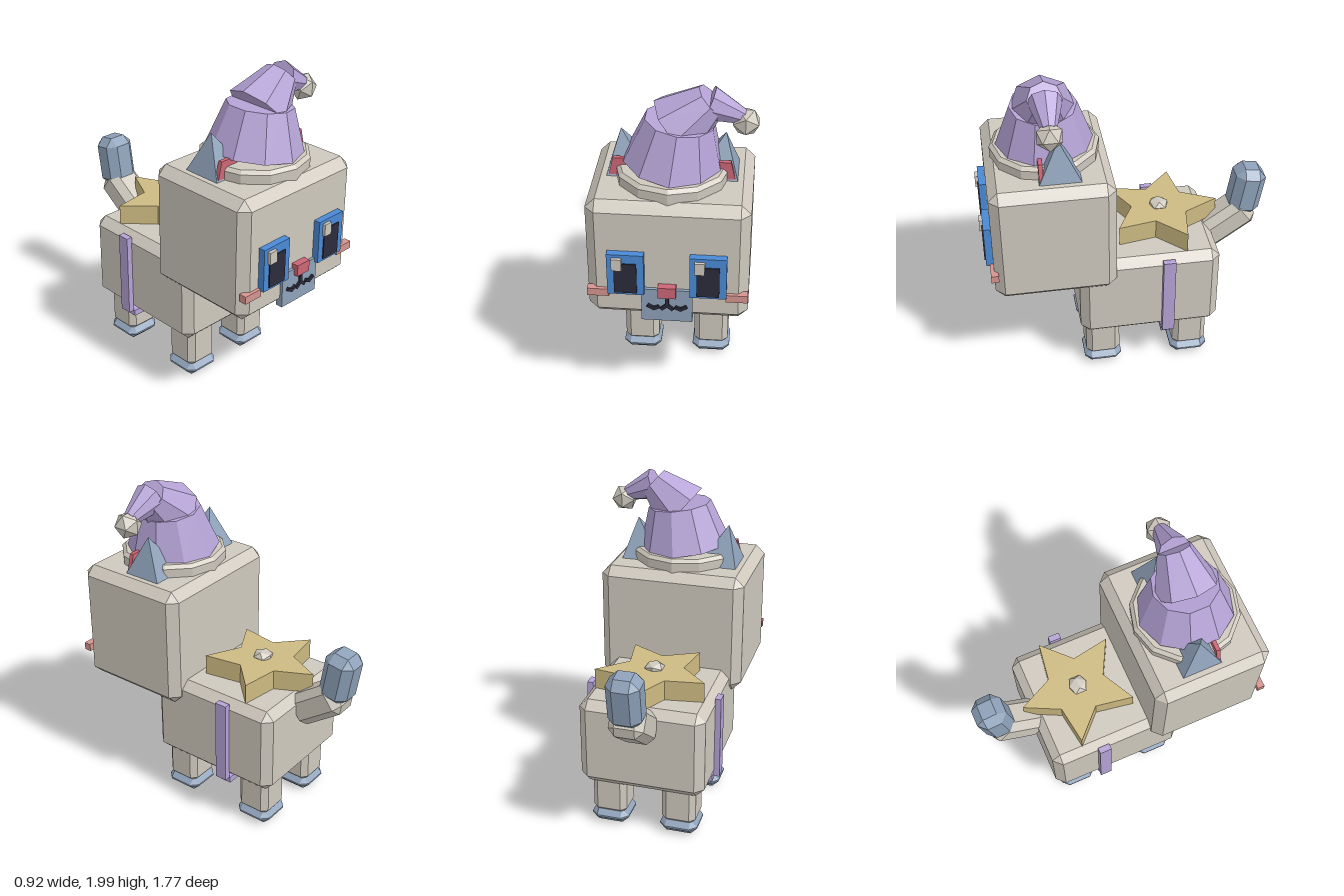
import * as THREE from 'three';
import { ConvexGeometry } from 'three/addons/geometries/ConvexGeometry.js';

const CX = -0.015; // symmetry plane of the animal

function makeMaterial(name, color) {
  const m = new THREE.MeshStandardMaterial({ color, flatShading: true });
  m.name = name;
  return m;
}

// Box with bevelled edges and corners, centred on the origin
function chamferBox(w, h, d, b) {
  const pts = [];
  for (const sx of [-1, 1]) for (const sy of [-1, 1]) for (const sz of [-1, 1]) {
    const x = w / 2, y = h / 2, z = d / 2;
    pts.push(
      new THREE.Vector3(sx * x, sy * (y - b), sz * (z - b)),
      new THREE.Vector3(sx * (x - b), sy * y, sz * (z - b)),
      new THREE.Vector3(sx * (x - b), sy * (y - b), sz * z)
    );
  }
  return new ConvexGeometry(pts);
}

export function createModel() {
  const root = new THREE.Group();
  root.name = 'catWithHat';

  const fur = makeMaterial('paleFur', 0xcfc9be);
  const slate = makeMaterial('slateFur', 0x8fa2ba);
  const purple = makeMaterial('purpleCloth', 0xb5a3d6);
  const gold = makeMaterial('goldStar', 0xcdba82);
  const blue = makeMaterial('eyeBlue', 0x4a8ad6);
  const dark = makeMaterial('darkInk', 0x2b2b3c);
  const rose = makeMaterial('rosePink', 0xcc6676);
  const blush = makeMaterial('blushPink', 0xd6948f);

  function add(name, geo, mat, x = 0, y = 0, z = 0) {
    const m = new THREE.Mesh(geo, mat);
    m.name = name;
    m.position.set(x, y, z);
    root.add(m);
    return m;
  }
  // Box given by its limits on each axis
  function boxAt(name, mat, x0, x1, y0, y1, z0, z1, bevel = 0) {
    const w = x1 - x0, h = y1 - y0, d = z1 - z0;
    const geo = bevel ? chamferBox(w, h, d, bevel) : new THREE.BoxGeometry(w, h, d);
    return add(name, geo, mat, (x0 + x1) / 2, (y0 + y1) / 2, (z0 + z1) / 2);
  }
  // Tapered tube running from a to b
  function frustum(name, mat, a, b, ra, rb, sides) {
    const dir = b.clone().sub(a);
    const mid = a.clone().add(b).multiplyScalar(0.5);
    const m = add(name, new THREE.CylinderGeometry(rb, ra, dir.length(), sides), mat, mid.x, mid.y, mid.z);
    m.quaternion.setFromUnitVectors(new THREE.Vector3(0, 1, 0), dir.normalize());
    return m;
  }

  // Head and body
  boxAt('head', fur, -0.465, 0.435, 0.705, 1.455, 0.1, 0.825, 0.055);
  boxAt('body', fur, -0.4, 0.37, 0.3, 0.855, -0.54, 0.32, 0.052);

  // Legs and paws
  for (const sx of [-1, 1]) for (const z of [0.178, -0.378]) {
    const x = CX + sx * 0.218;
    boxAt('leg', fur, x - 0.106, x + 0.106, 0.07, 0.36, z - 0.106, z + 0.106, 0.034);
    boxAt('paw', slate, x - 0.117, x + 0.117, 0.0, 0.095, z - 0.117, z + 0.117, 0.042);
  }

  // Tail: two bent segments
  const tailBase = add('tailBase', chamferBox(0.21, 0.36, 0.2, 0.045), fur, CX, 0.825, -0.645);
  tailBase.rotation.x = -0.95;
  const tailTip = add('tailTip', chamferBox(0.2, 0.32, 0.19, 0.05), slate, CX, 1.045, -0.772);
  tailTip.rotation.x = -0.16;

  // Strap around the belly
  boxAt('strapRight', purple, -0.435, -0.397, 0.31, 0.84, -0.255, -0.18);
  boxAt('strapLeft', purple, 0.367, 0.405, 0.31, 0.84, -0.255, -0.18);
  boxAt('strapBelly', purple, -0.39, 0.36, 0.265, 0.305, -0.255, -0.18);

  // Star lying on the back, with a stud
  const star = new THREE.Shape();
  for (let i = 0; i < 10; i++) {
    const r = i % 2 ? 0.178 : 0.355, a = Math.PI / 2 + i * Math.PI / 5;
    star[i ? 'lineTo' : 'moveTo'](r * Math.cos(a), r * Math.sin(a));
  }
  star.closePath();
  const starGeo = new THREE.ExtrudeGeometry(star, { depth: 0.125, bevelEnabled: false });
  starGeo.rotateX(-Math.PI / 2);
  add('star', starGeo, gold, CX, 0.855, -0.23);
  add('starStud', new THREE.IcosahedronGeometry(0.064), fur, CX, 0.985, -0.222).scale.y = 0.55;

  // Eyes: frame, pupil and glint
  for (const ex of [-0.2425, 0.2125]) {
    boxAt('eye', blue, ex - 0.102, ex + 0.102, 0.895, 1.16, 0.81, 0.866);
    boxAt('pupil', dark, ex - 0.063, ex + 0.063, 0.91, 1.105, 0.864, 0.873);
    boxAt('eyeGlint', fur, ex - 0.074, ex - 0.018, 1.065, 1.14, 0.864, 0.885);
  }

  // Muzzle, nose and cheeks
  boxAt('muzzle', slate, -0.16, 0.126, 0.705, 0.92, 0.8, 0.843);
  boxAt('nose', rose, -0.065, 0.035, 0.88, 0.95, 0.82, 0.868);
  boxAt('cheekRight', blush, -0.463, -0.34, 0.86, 0.907, 0.8, 0.845);
  boxAt('cheekLeft', blush, 0.31, 0.433, 0.86, 0.907, 0.8, 0.845);

  // Mouth strokes, as offsets from the middle
  const stroke = (x0, y0, x1, y1) => {
    const len = Math.hypot(x1 - x0, y1 - y0) + 0.012;
    const m = add('mouthStroke', new THREE.BoxGeometry(len, 0.02, 0.02), dark, CX + (x0 + x1) / 2, (y0 + y1) / 2, 0.846);
    m.rotation.z = Math.atan2(y1 - y0, x1 - x0);
  };
  stroke(0, 0.88, 0, 0.82);
  for (const s of [-1, 1]) {
    stroke(0, 0.82, s * 0.03, 0.795);
    stroke(s * 0.05, 0.807, s * 0.075, 0.795);
    stroke(s * 0.075, 0.795, s * 0.105, 0.812);
  }

  // Ears: pyramids leaning outward, with a pink inner piece
  for (const s of [-1, 1]) {
    const ear = new THREE.ConeGeometry(0.126 * Math.SQRT2, 0.25, 4);
    ear.rotateY(Math.PI / 4);
    const p = ear.attributes.position;
    for (let i = 0; i < p.count; i++) if (p.getY(i) > 0.1) p.setX(i, p.getX(i) + s * 0.05);
    add('ear', ear, slate, CX + s * 0.24, 1.57, 0.411);

    const inner = new THREE.Shape();
    inner.moveTo(-0.08, 0);
    inner.lineTo(0.08, 0);
    inner.lineTo(0.055, 0.105);
    inner.lineTo(-0.055, 0.105);
    inner.closePath();
    add('earInner', new THREE.ExtrudeGeometry(inner, { depth: 0.025, bevelEnabled: false }), rose, CX + s * 0.27, 1.465, 0.505);
  }

  // Hat brim
  const brimProfile = [[0.2, 1.44], [0.32, 1.44], [0.322, 1.51], [0.3, 1.53], [0.2, 1.53]]
    .map(([r, y]) => new THREE.Vector2(r, y));
  add('hatBrim', new THREE.LatheGeometry(brimProfile, 12), fur, CX, 0, 0.465);

  // Hat: three folded sections and a pompom
  const HZ = 0.465;
  const v = (x, y) => new THREE.Vector3(x, y, HZ);
  frustum('hatBase', purple, v(-0.01, 1.53), v(0.024, 1.79), 0.285, 0.195, 10);
  frustum('hatMiddle', purple, v(0.011, 1.755), v(0.192, 1.917), 0.192, 0.1, 8);
  frustum('hatTip', purple, v(0.182, 1.9), v(0.364, 1.826), 0.1, 0.045, 8);
  add('pompom', new THREE.IcosahedronGeometry(0.083), fur, 0.381, 1.795, HZ);

  return root;
}
